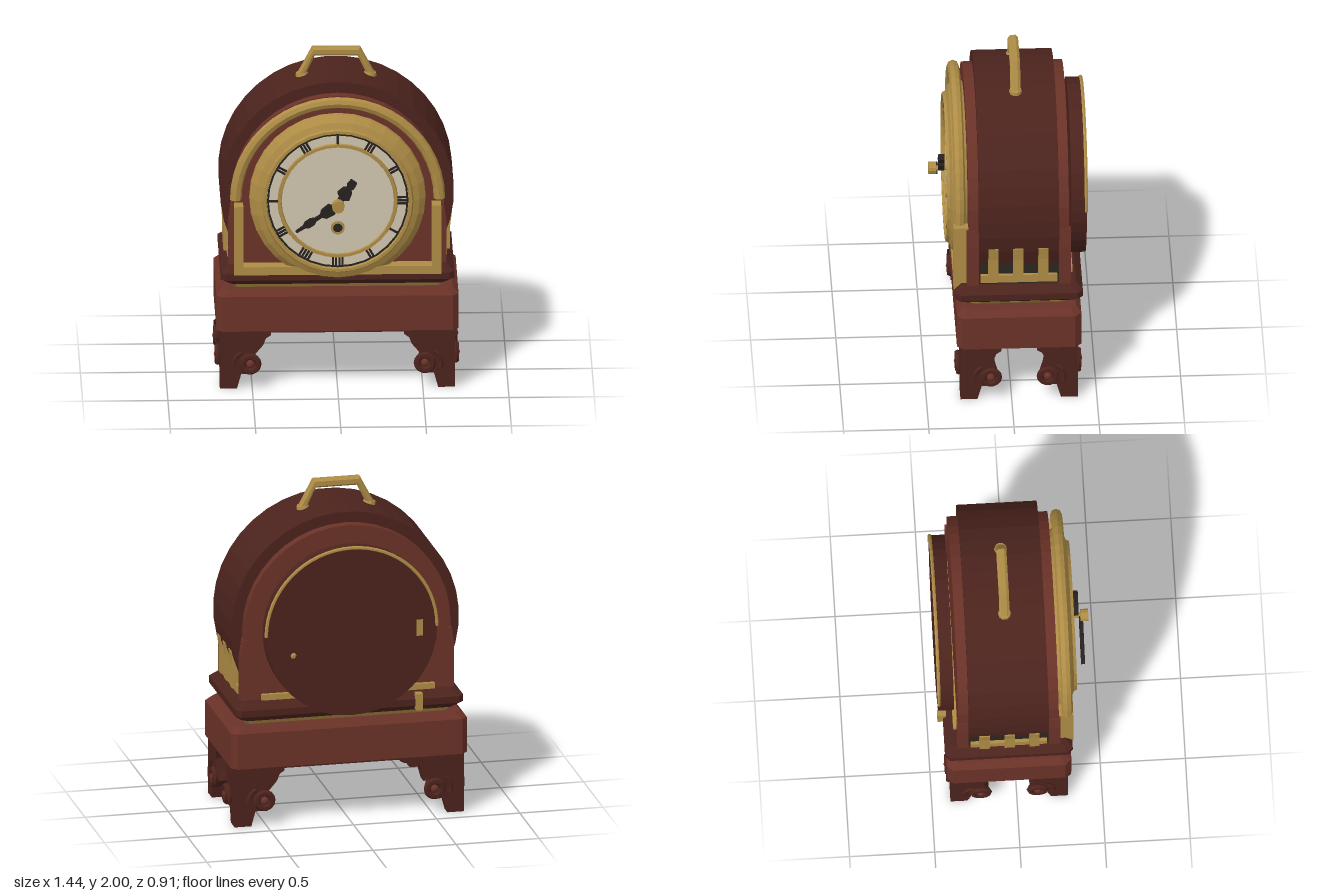
import * as THREE from 'three';
import { ConvexGeometry } from 'three/addons/geometries/ConvexGeometry.js';

const mat = (color, flatShading = true) =>
  new THREE.MeshStandardMaterial({ color, flatShading, side: THREE.DoubleSide });
const wood = mat(0x6a3228), darkWood = mat(0x4c231d), brass = mat(0xae8c45), ivory = mat(0xcfc5ae),
  black = mat(0x26211f), recess = mat(0x2c2620);
const CZ = -0.045;      // middle of the case in z
const CY = 1.175;       // centre of the dial and arches

export function createModel() {
  const root = new THREE.Group();

  const add = (name, geo, material, x = 0, y = 0, z = 0, parent = root) => {
    const m = new THREE.Mesh(geo, material);
    m.name = name;
    m.position.set(x, y, z);
    parent.add(m);
    return m;
  };
  // box given by its limits
  const box = (name, material, x0, x1, y0, y1, z0, z1, parent = root) =>
    add(name, new THREE.BoxGeometry(x1 - x0, y1 - y0, z1 - z0), material,
      (x0 + x1) / 2, (y0 + y1) / 2, (z0 + z1) / 2, parent);
  // slab with cut corners, from rings of [y, half width, half depth]
  const slab = (name, material, rings, cut) => {
    const pts = [];
    for (const [y, hx, hz] of rings)
      for (const sx of [-1, 1]) for (const sz of [-1, 1])
        pts.push(new THREE.Vector3(sx * hx, y, sz * (hz - cut)), new THREE.Vector3(sx * (hx - cut), y, sz * hz));
    return add(name, new ConvexGeometry(pts), material, 0, 0, CZ);
  };
  const extrude = (points, depth) => new THREE.ExtrudeGeometry(
    new THREE.Shape(points.map(p => new THREE.Vector2(...p))), { depth, bevelEnabled: false });
  const arc = (r, a0, a1, n) => Array.from({ length: n + 1 }, (_, i) => {
    const a = a0 + (a1 - a0) * i / n;
    return [r * Math.cos(a), CY + r * Math.sin(a)];
  });
  // round part facing the front, profile of [radius, z]
  const turned = (name, material, profile, x, y, sides = 32) =>
    add(name, new THREE.LatheGeometry(profile.map(p => new THREE.Vector2(...p)), sides)
      .rotateX(Math.PI / 2), material, x, y, 0);

  // base box, brass plinth and moulding
  slab('base', wood, [[0.36, 0.71, 0.365], [0.575, 0.71, 0.365], [0.61, 0.675, 0.335]], 0.035);
  box('baseUnderside', darkWood, -0.67, 0.67, 0.34, 0.365, CZ - 0.33, CZ + 0.33);
  slab('plinth', brass, [[0.605, 0.6, 0.28], [0.64, 0.635, 0.3], [0.66, 0.635, 0.3]], 0.02);
  slab('moulding', darkWood, [[0.645, 0.64, 0.335], [0.68, 0.685, 0.375], [0.72, 0.685, 0.375], [0.76, 0.64, 0.335]], 0.03);

  // four bracket legs, each with two panels and scrolls
  const panel = top => extrude([[0, 0], [0.1, 0], [0.125, 0.09], [0.18, 0.09], [0.225, 0.14], [0.205, 0.21],
    [top - 0.045, 0.27], [top - 0.03, 0.31], [top, 0.33], [top, 0.37], [0, 0.37]], 0.07);
  const addScroll = (leg, side) => {
    const s = new THREE.Group();
    s.name = 'scroll';
    add('scrollRing', new THREE.TorusGeometry(0.046, 0.02, 6, 14), darkWood, 0, 0, 0, s);
    add('scrollEye', new THREE.SphereGeometry(0.024, 8, 6), wood, 0, 0, 0, s);
    add('scrollLeaf', new THREE.TorusGeometry(0.075, 0.014, 5, 8, 1.5), darkWood, -0.02, 0, 0, s).rotation.z = 2;
    s.position.set(side ? -0.008 : 0.178, 0.155, side ? 0.178 : -0.008);
    if (side) s.rotation.y = -Math.PI / 2;
    leg.add(s);
  };
  for (const sx of [-1, 1]) for (const sz of [-1, 1]) {
    const leg = new THREE.Group();
    leg.name = 'leg';
    add('legFacePanel', panel(0.3), darkWood, 0, 0, 0, leg);
    add('legSidePanel', panel(0.24).rotateY(-Math.PI / 2), darkWood, 0.07, 0, 0, leg);
    addScroll(leg, false);
    addScroll(leg, true);
    leg.position.set(sx * 0.69, 0, CZ + sz * 0.345);
    leg.scale.set(-sx, 1, -sz);
    root.add(leg);
  }

  // arched case and its wider outer shell
  add('case', extrude([[-0.62, 0.75], [0.62, 0.75], ...arc(0.62, 0, Math.PI, 20)], 0.59), wood, 0, 0, CZ - 0.295);
  add('shell', extrude(arc(0.685, -0.41, Math.PI + 0.41, 25), 0.47), darkWood, 0, 0, CZ - 0.235);

  // side vents: dark recess, sill, three slanted slats, corner posts
  for (const s of [-1, 1]) {
    const side = new THREE.Group();
    side.name = 'sideVent';
    side.scale.x = s;
    root.add(side);
    box('ventRecess', recess, 0.6, 0.625, 0.76, 0.91, CZ - 0.235, CZ + 0.235, side);
    box('ventSill', brass, 0.6, 0.645, 0.78, 0.83, CZ - 0.225, CZ + 0.225, side);
    for (const z of [0.105, -0.04, -0.188])
      add('slat', extrude([[0.61, 0.8], [0.665, 0.8], [0.665, 0.95], [0.675, 1.03], [0.61, 1.03]], 0.06),
        brass, 0, 0, z - 0.03, side);
    for (const e of [-1, 1])
      add('cornerPost', extrude([[0.59, 0.75], [0.64, 0.75], [0.64, 1.02], [0.625, 1.13], [0.59, 1.13]], 0.07),
        wood, 0, 0, CZ + e * 0.27 - 0.035, side);
  }

  // brass frame on the front
  add('frontArch', new THREE.TorusGeometry(0.597, 0.034, 8, 24, Math.PI), brass, 0, CY, 0.3);
  for (const s of [-1, 1]) box('frontPost', brass, s * 0.58 - 0.027, s * 0.58 + 0.027, 0.715, 1.14, 0.24, 0.337);
  box('frontSill', brass, -0.6, 0.6, 0.715, 0.765, 0.24, 0.335);

  // bezel, dial and inner ring
  turned('bezel', brass, [[0.5, 0.24], [0.518, 0.27], [0.515, 0.3], [0.48, 0.335], [0.445, 0.35],
    [0.437, 0.367], [0.42, 0.367], [0.415, 0.34]], 0, 1.18);
  turned('dial', ivory, [[0.43, 0.3], [0.43, 0.345], [0, 0.345]], 0, 1.18);
  turned('minuteTrack', black, [[0.404, 0.344], [0.404, 0.348], [0.415, 0.348]], 0, 1.18);
  turned('innerRing', brass, [[0.329, 0.344], [0.333, 0.359], [0.35, 0.359], [0.354, 0.344]], 0, 1.18);

  // hour marks as small groups of bars
  [1, 3, 2, 3, 1, 2, 4, 4, 3, 1, 2, 3].forEach((count, hour) => {
    const mark = new THREE.Group();
    mark.name = 'hourMark';
    mark.position.set(0, 1.18, 0.35);
    mark.rotation.z = -hour * Math.PI / 6;
    for (let i = 0; i < count; i++)
      add('markBar', new THREE.BoxGeometry(0.012, 0.06, 0.008), black, (i - (count - 1) / 2) * 0.019, 0.381, 0, mark);
    root.add(mark);
  });

  // hands, hub and winding hole
  const hand = (name, outline, depth, z, angle) =>
    add(name, extrude([...outline, ...outline.map(([x, y]) => [-x, y]).reverse()], depth),
      black, 0, CY, z).rotation.z = angle;
  hand('hourHand', [[0.012, 0], [0.018, 0.04], [0.042, 0.055], [0.03, 0.1], [0.014, 0.11], [0.024, 0.13], [0.02, 0.165]],
    0.035, 0.367, -0.61);
  hand('minuteHand', [[0.014, 0], [0.018, 0.03], [0.036, 0.045], [0.03, 0.1], [0.01, 0.12], [0.01, 0.16],
    [0.022, 0.18], [0.022, 0.22], [0.009, 0.24], [0.006, 0.295]], 0.024, 0.402, 2.16);
  turned('hub', brass, [[0.015, 0.34], [0.015, 0.41], [0.037, 0.412], [0.037, 0.458], [0, 0.458]], 0, CY, 12);
  turned('windingRing', brass, [[0.042, 0.343], [0.04, 0.358], [0.028, 0.358], [0.026, 0.346]], 0, 1.012, 14);
  turned('windingHole', black, [[0.031, 0.345], [0.031, 0.354], [0, 0.354]], 0, 1.012, 14);

  // carrying handle with two feet
  const frame = new THREE.Shape([[-0.235, 1.82], [-0.14, 2], [0.14, 2], [0.235, 1.82], [0.185, 1.82],
    [0.125, 1.948], [-0.125, 1.948], [-0.185, 1.82]].map(p => new THREE.Vector2(...p)));
  add('handle', new THREE.ExtrudeGeometry(frame, { depth: 0.03, bevelThickness: 0.015, bevelSize: 0.012,
    bevelOffset: -0.012, bevelSegments: 1 }), brass, 0, 0, CZ - 0.015);
  for (const s of [-1, 1])
    add('handleFoot', new THREE.CylinderGeometry(0.034, 0.044, 0.035, 10), brass, s * 0.2, 1.828, CZ).rotation.z = -s * 0.25;

  // round back door with brass rim, knob, hinges and sill
  add('backDoor', new THREE.CylinderGeometry(0.515, 0.515, 0.09, 40).rotateX(Math.PI / 2), darkWood, 0, CY, -0.405);
  add('doorRim', new THREE.TorusGeometry(0.513, 0.011, 6, 32, Math.PI), brass, 0, CY, -0.447);
  add('doorKnob', new THREE.SphereGeometry(0.028, 10, 8), brass, 0.35, 1.05, -0.43);
  for (const y of [0.71, 1.17]) box('doorHinge', brass, -0.43, -0.39, y - 0.05, y + 0.05, -0.452, -0.4);
  box('backSill', brass, -0.52, 0.52, 0.755, 0.795, -0.365, -0.33);

  return root;
}
